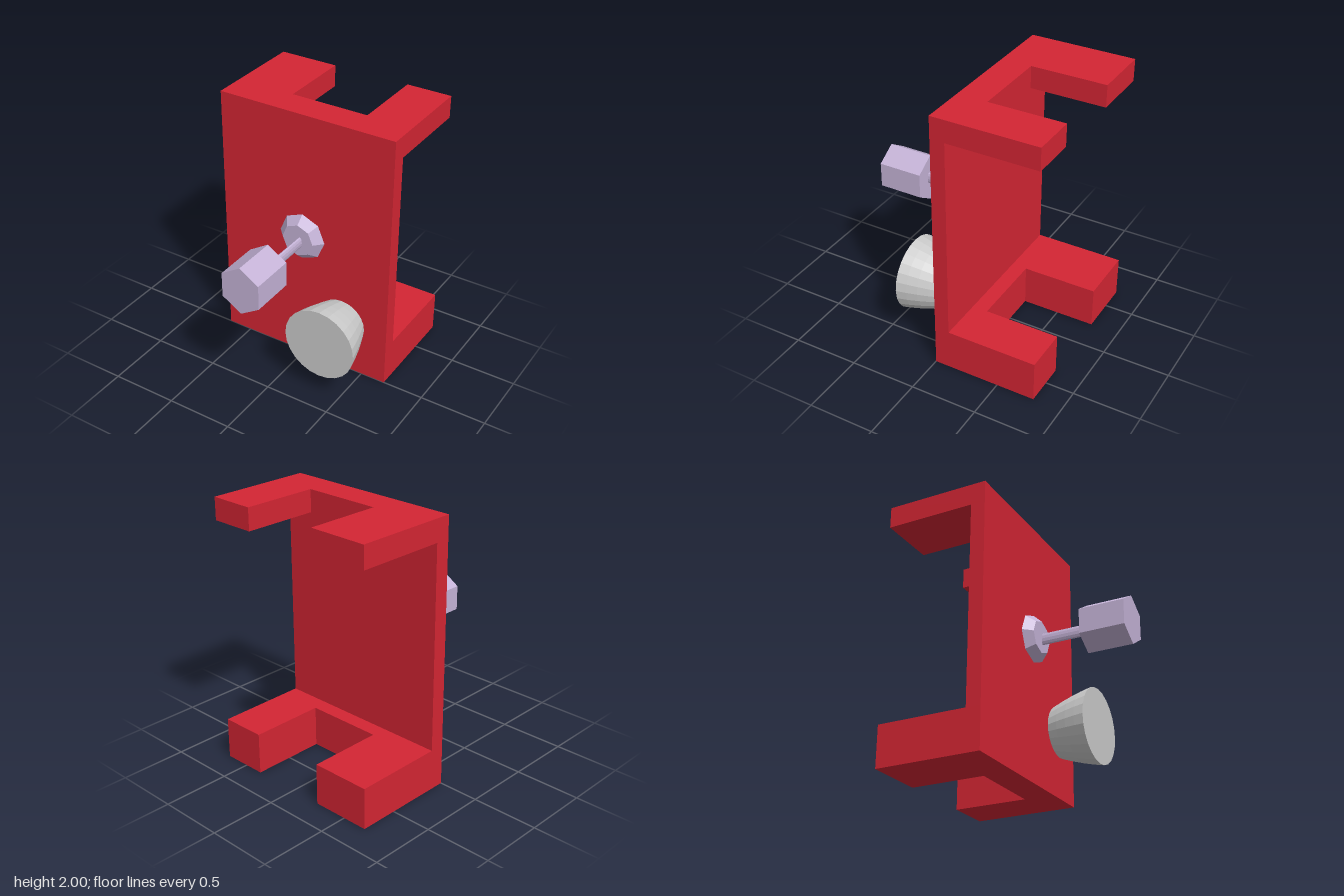
import * as THREE from 'three';

const paint = (color) => new THREE.MeshStandardMaterial({ color, flatShading: true });

export function createModel() {
  const group = new THREE.Group();
  const red = paint(0xd32533);
  const lilac = paint(0xc4b2d6);
  const grey = paint(0xcccccc);

  const add = (name, geometry, material, x, y, z) => {
    const mesh = new THREE.Mesh(geometry, material);
    mesh.name = name;
    mesh.position.set(x, y, z);
    group.add(mesh);
    return mesh;
  };

  // Notched flanges, drawn as plan outlines and extruded upwards
  const outline = new THREE.Shape([
    [-0.69, 0], [0.69, 0], [0.69, 0.787], [0.35, 0.787],
    [0.35, 0.225], [-0.24, 0.225], [-0.24, 0.787], [-0.69, 0.787],
  ].map(([x, y]) => new THREE.Vector2(x, y)));
  const flange = (name, y, height) => {
    const geometry = new THREE.ExtrudeGeometry(outline, { depth: height, bevelEnabled: false });
    add(name, geometry.rotateX(-Math.PI / 2), red, 0, y, 0);
  };
  flange('bottomFlange', 0, 0.31);
  flange('topFlange', 1.835, 0.165);

  // Front plate joining the flanges
  add('frontPlate', new THREE.BoxGeometry(1.38, 1.525, 0.11), red, 0, 1.0725, -0.055);

  // Prisms along z: front radius, back radius, z range, number of sides
  const prism = (front, back, z0, z1, sides) =>
    new THREE.CylinderGeometry(front, back, z1 - z0, sides)
      .rotateX(Math.PI / 2).translate(0, (0), (z0 + z1) / 2);

  // Pull knob: octagonal collar, flattened stem, hexagonal grip
  add('knobCollar', prism(0.125, 0.184, 0.028, 0.092, 8), lilac, -0.002, 1.055, 0);
  add('knobStem', prism(0.045, 0.045, 0.092, 0.453, 12), lilac, 0.017, 1.045, 0).scale.x = 0.4;
  add('knobGrip', prism(0.185, 0.185, 0.453, 0.787, 6), lilac, -0.004, 1.037, 0).scale.x = 0.92;

  // Round button with a slightly bulging, flared side
  const profile = [[0, 0.055], [0.189, 0.055], [0.217, 0.132], [0.242, 0.21], [0.263, 0.288], [0.28, 0.365], [0, 0.365]]
    .map(([r, z]) => new THREE.Vector2(r, z));
  add('roundButton', new THREE.LatheGeometry(profile, 24).rotateX(Math.PI / 2), grey, 0.35, 0.453, 0);

  return group;
}
